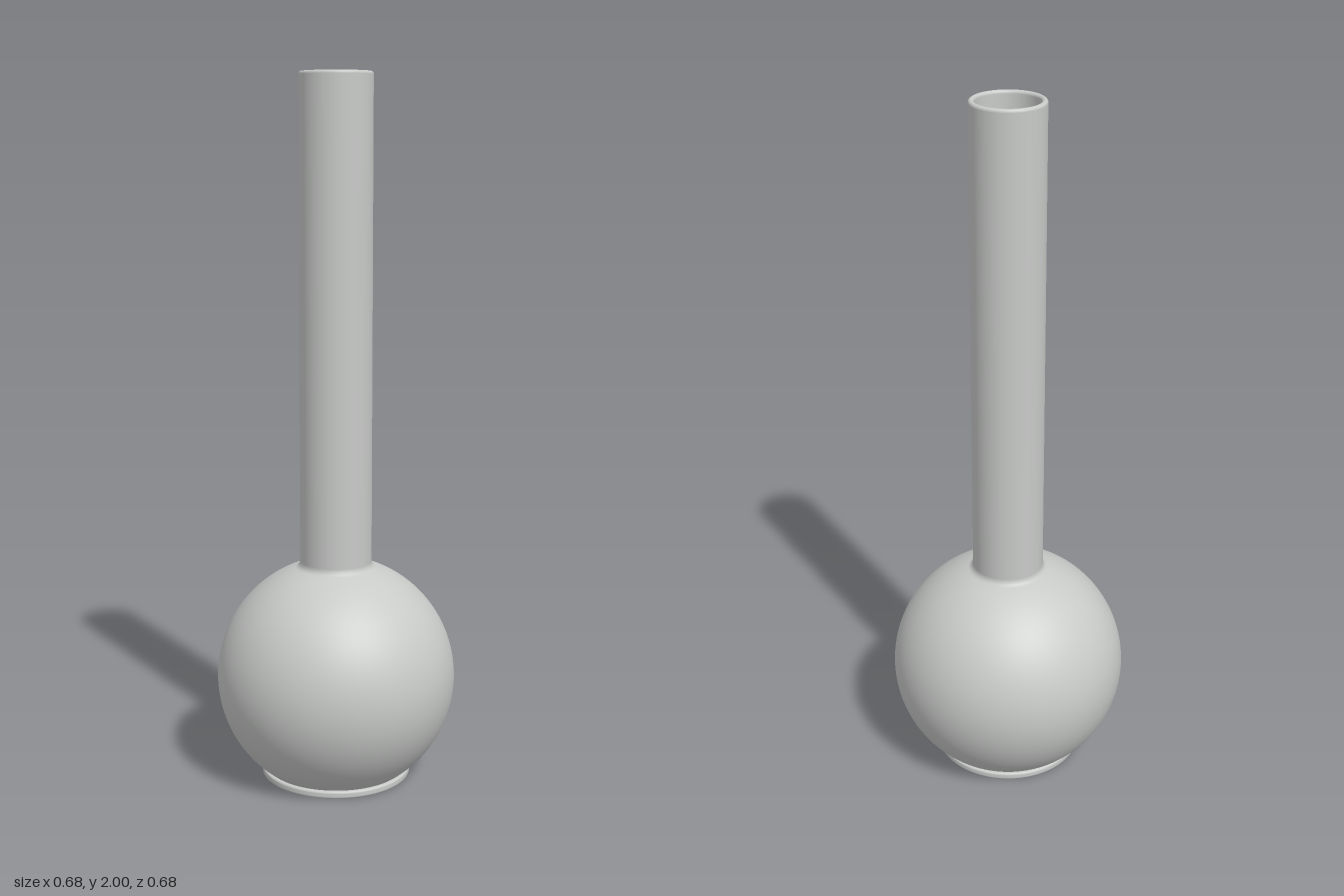
import * as THREE from 'three';

const SEGMENTS = 96;
const CENTRE_Y = 0.295, OUTER_R = 0.342, INNER_R = 0.326;
const NECK_R = 0.102, BORE_R = 0.086, BASE_R = 0.215, TOP = 2;

// Points on a circle around (cx, cy), from angle a to angle b (0 = outward, PI/2 = up)
function arc(cx, cy, r, a, b, n) {
  return Array.from({ length: n + 1 }, (_, i) => {
    const t = a + (b - a) * i / n;
    return [cx + r * Math.cos(t), cy + r * Math.sin(t)];
  });
}

export function createModel() {
  const group = new THREE.Group();
  group.name = 'bottleVase';
  const ceramic = new THREE.MeshStandardMaterial({ color: 0xc8cac8 });
  ceramic.name = 'pale grey ceramic';

  // Each profile is turned separately so that the joints stay crisp
  const turn = (name, points) => {
    const profile = points.map(([x, y]) => new THREE.Vector2(Math.max(x, 0), y));
    const mesh = new THREE.Mesh(new THREE.LatheGeometry(profile, SEGMENTS), ceramic);
    mesh.name = name;
    group.add(mesh);
  };

  // Foot: flat underside and a thin rounded rim
  turn('underside', [[0, 0], [BASE_R - 0.006, 0]]);
  turn('footRim', [
    ...arc(BASE_R - 0.006, 0.006, 0.006, -Math.PI / 2, 0, 4),
    ...arc(BASE_R - 0.006, 0.015, 0.006, 0, Math.PI / 2, 4),
    [0.2, 0.021],
  ]);

  // Round body, from the foot up to the neck
  const bodyLow = Math.asin((0.02 - CENTRE_Y) / OUTER_R);
  const bodyHigh = Math.acos(0.114 / OUTER_R);
  const body = arc(0, CENTRE_Y, OUTER_R, bodyLow, bodyHigh, 48);
  turn('body', body);

  // Straight neck with a small fillet at its root and a rounded lip
  const lipR = (NECK_R - BORE_R) / 2;
  turn('neck', [
    body[body.length - 1], [0.108, 0.621], [0.104, 0.627], [NECK_R, 0.636], [NECK_R, TOP - lipR],
  ]);
  turn('lip', arc(BORE_R + lipR, TOP - lipR, lipR, 0, Math.PI, 12));

  // Hollow inside: bore, chamber and flat floor
  const chamberHigh = Math.acos(BORE_R / INNER_R);
  const chamberLow = Math.asin((0.02 - CENTRE_Y) / INNER_R);
  const chamber = arc(0, CENTRE_Y, INNER_R, chamberHigh, chamberLow, 40);
  turn('bore', [[BORE_R, TOP - lipR], chamber[0]]);
  turn('chamber', chamber);
  turn('floor', [chamber[chamber.length - 1], [0, 0.02]]);

  return group;
}
